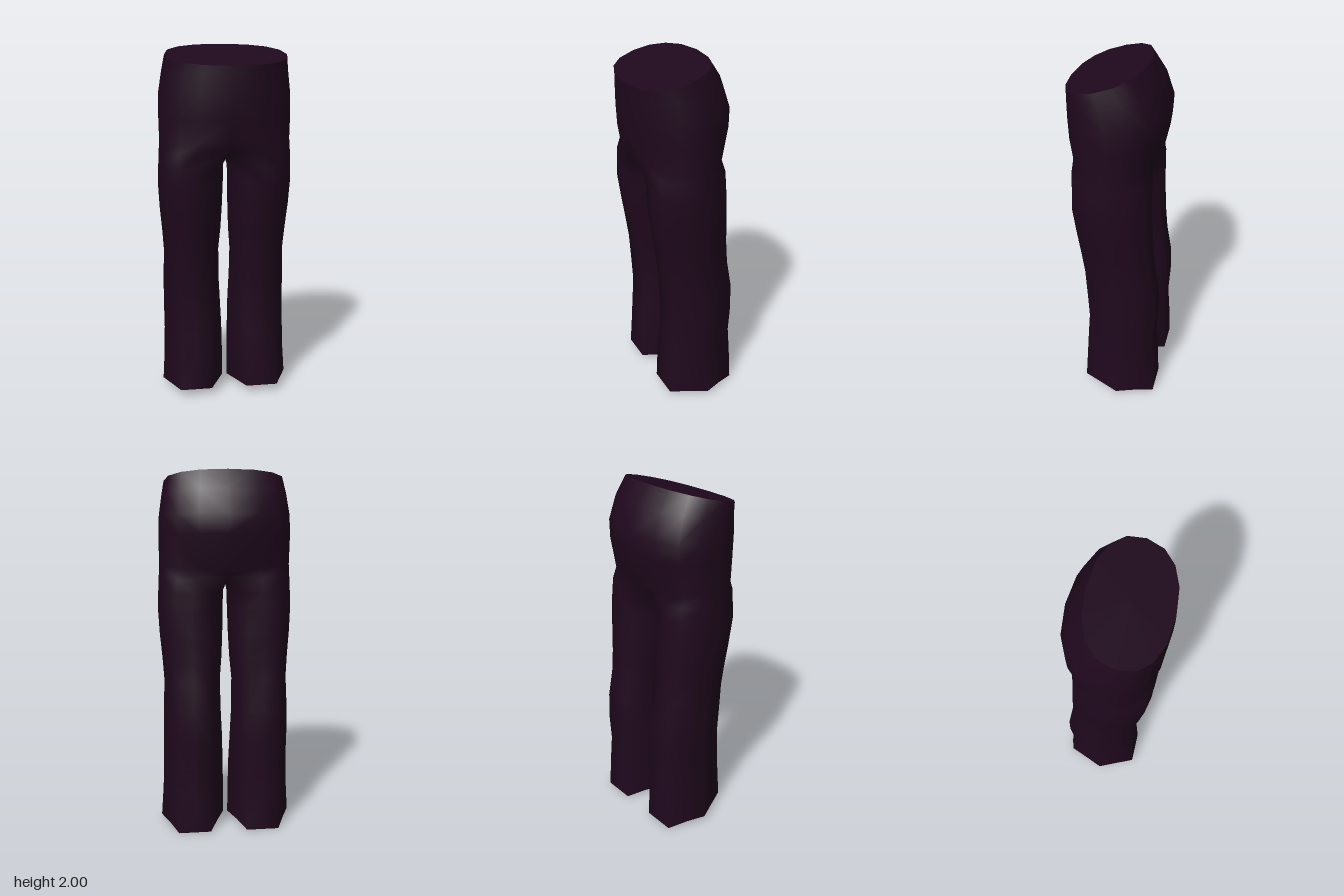
import * as THREE from 'three';
import { mergeVertices } from 'three/addons/utils/BufferGeometryUtils.js';

const OUTER = 8; // segments from front centre round the hip to back centre
const RING = 12; // points round a whole leg

// rounded sine / cosine, a little squarer than an ellipse
const soft = (v) => Math.sign(v) * Math.abs(v) ** 0.87;
const { lerp, clamp, degToRad } = THREE.MathUtils;

// Hips: y at front, y at back, half width, z front, z back
const HIPS = [
  [1.885, 2.0, 0.335, 0.267, -0.152],
  [1.82, 1.9, 0.35, 0.267, -0.22],
  [1.72, 1.77, 0.367, 0.265, -0.265],
  [1.6, 1.67, 0.37, 0.258, -0.26],
  [1.49, 1.48, 0.368, 0.238, -0.22],
];

// Legs: y at front, y at back, outer x, inner x, z front, z back
const LEGS = [
  [1.42, 1.42, 0.372, 0.0, 0.228, -0.21],
  [1.34, 1.34, 0.376, 0.01, 0.223, -0.21],
  [1.25, 1.25, 0.38, 0.012, 0.22, -0.21],
  [1.1, 1.1, 0.372, 0.016, 0.195, -0.213],
  [0.97, 0.97, 0.36, 0.022, 0.172, -0.217],
  [0.84, 0.84, 0.351, 0.033, 0.15, -0.226],
  [0.68, 0.68, 0.357, 0.032, 0.134, -0.25],
  [0.52, 0.52, 0.36, 0.025, 0.125, -0.255],
  [0.36, 0.36, 0.361, 0.02, 0.136, -0.246],
  [0.2, 0.2, 0.367, 0.018, 0.145, -0.258],
  [0.04, 0.0, 0.379, 0.018, 0.153, -0.266],
];

// Half ring of the hips, front centre to back centre
function hipRow([yf, yb, w, zf, zb]) {
  return Array.from({ length: OUTER + 1 }, (_, i) => {
    const a = (i / OUTER) * Math.PI;
    const x = i === OUTER ? 0 : w * soft(Math.sin(a));
    const c = soft(Math.cos(a));
    return new THREE.Vector3(x, lerp(yb, yf, (c + 1) / 2), (zf + zb) / 2 + ((zf - zb) / 2) * c);
  });
}

// Closed ring of one leg, turning from round at the thigh to six-sided below the knee
function legRow([yf, yb, xo, xi, zf, zb], row) {
  const k = Math.min(1, row / 6);
  return Array.from({ length: RING }, (_, i) => {
    const a = degToRad(-30 + i * 30);
    const r = i % 2 ? Math.cos(Math.PI / 6) : 1;
    const s = Math.sin(a) * lerp(1, r, k);
    const c = Math.cos(a) * lerp(1, r / Math.cos(Math.PI / 6), k);
    return new THREE.Vector3(
      (xo + xi) / 2 + ((xo - xi) / 2) * s,
      lerp(yb, yf, Math.sqrt((c + 1) / 2)),
      (zf + zb) / 2 + ((zf - zb) / 2) * c);
  });
}

// Right side, its lower leg standing slightly closer in
const toRight = (p) => new THREE.Vector3(-p.x + 0.011 * clamp((0.8 - p.y) / 0.8, 0, 1), p.y, p.z);

// Triangles to geometry with smooth shared normals
function toGeometry(points) {
  const geo = mergeVertices(new THREE.BufferGeometry().setFromPoints(points), 1e-4);
  geo.computeVertexNormals();
  return geo;
}

// Flat cap over a ring
function capGeometry(ring, flip) {
  const mid = ring.reduce((m, p) => m.add(p), new THREE.Vector3()).divideScalar(ring.length);
  const tris = [];
  ring.forEach((p, i) => {
    const q = ring[(i + 1) % ring.length];
    tris.push(...(flip ? [mid, q, p] : [mid, p, q]));
  });
  return toGeometry(tris);
}

export function createModel() {
  const group = new THREE.Group();
  group.name = 'trousers';
  const cloth = new THREE.MeshStandardMaterial({ color: 0x1f081d });
  cloth.name = 'dark plum cloth';

  const hips = HIPS.map(hipRow);
  const legs = LEGS.map(legRow);

  // Crotch seam: the inner points of the first leg ring meet on the centre line
  const seam = { 0: [1.43, 0.175], 8: [1.43, -0.165], 9: [1.4, -0.09], 10: [1.39, 0], 11: [1.4, 0.1] };
  for (const i in seam) legs[0][i].set(0, ...seam[i]);

  const tris = [];
  const strip = (upper, lower, segments) => {
    for (let i = 0; i < segments; i++) {
      const j = (i + 1) % upper.length;
      const quad = [upper[i], upper[j], lower[i], lower[j]];
      const [a, b, c, d] = quad;
      const [e, f, g, h] = quad.map(toRight);
      tris.push(a, c, d, a, d, b, e, h, g, e, f, h);
    }
  };
  const hipRows = [...hips, legs[0]];
  for (let r = 0; r < hipRows.length - 1; r++) strip(hipRows[r], hipRows[r + 1], OUTER);
  for (let r = 0; r < legs.length - 1; r++) strip(legs[r], legs[r + 1], RING);

  const add = (name, geo) => {
    const mesh = new THREE.Mesh(geo, cloth);
    mesh.name = name;
    group.add(mesh);
  };
  add('hipsAndLegs', toGeometry(tris));

  // Waist and hem closures
  const waist = [...hips[0], ...hips[0].slice(1, -1).reverse().map(toRight)];
  add('waistTop', capGeometry(waist, false));
  const hem = legs[legs.length - 1];
  add('leftHem', capGeometry(hem, true));
  add('rightHem', capGeometry(hem.map(toRight), false));

  return group;
}
